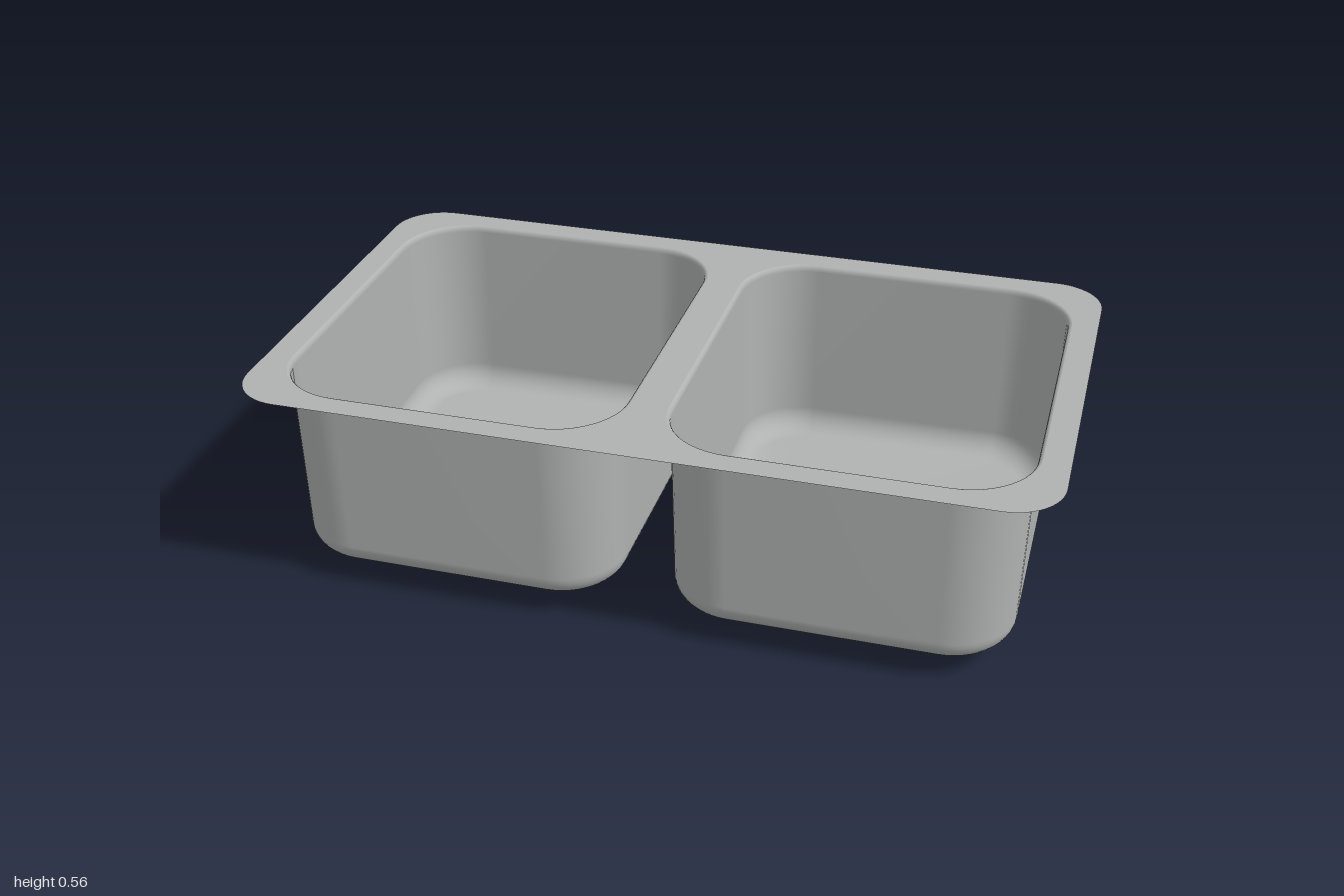
import * as THREE from 'three';

const steel = new THREE.MeshStandardMaterial({ color: 0xb0b2b2, side: THREE.DoubleSide });
steel.name = 'brushed steel';
const dark = new THREE.MeshStandardMaterial({ color: 0x22292a, side: THREE.DoubleSide });
dark.name = 'dark opening';

const TOP = 0.56, BOWL_X = 0.49, DRAIN_X = 0.36, DRAIN_R = 0.097;
const HALF_X = 0.443, HALF_Z = 0.523, CORNER = 0.185, ARC = 12;

// Outline of a rounded rectangle; with hx = hz = r it becomes a circle
function outline(cx, hx, hz, r) {
  const pts = [];
  for (let k = 0; k < 4; k++) {
    const sx = k === 0 || k === 3 ? 1 : -1, sz = k < 2 ? 1 : -1;
    for (let i = 0; i <= ARC; i++) {
      const a = (k + i / ARC) * Math.PI / 2;
      pts.push(new THREE.Vector2(cx + sx * (hx - r) + r * Math.cos(a), sz * (hz - r) + r * Math.sin(a)));
    }
  }
  return pts;
}

// Skin joining rings of equal point count, each { pts, y }
function loft(rings) {
  const pos = [], idx = [], n = rings[0].pts.length;
  for (const { pts, y } of rings) for (const p of pts) pos.push(p.x, y, p.y);
  for (let j = 0; j < rings.length - 1; j++) {
    for (let i = 0; i < n; i++) {
      const a = j * n + i, b = j * n + (i + 1) % n;
      idx.push(a, b, a + n, b, b + n, a + n);
    }
  }
  const g = new THREE.BufferGeometry();
  g.setAttribute('position', new THREE.Float32BufferAttribute(pos, 3));
  g.setIndex(idx);
  g.computeVertexNormals();
  return g;
}

function add(parent, name, geometry, material) {
  const m = new THREE.Mesh(geometry, material);
  m.name = name;
  parent.add(m);
  return m;
}

// Lip, drafted walls, rounded floor edge, sloping floor and drain throat
function bowlGeometry(side) {
  const cx = side * BOWL_X, dx = side * DRAIN_X, rings = [];
  const inset = (d, y) => rings.push({ pts: outline(cx, HALF_X - d, HALF_Z - d, CORNER - d), y });
  const round = (r, y) => rings.push({ pts: outline(dx, r, r, r), y });
  for (let i = 0; i <= 4; i++) {
    const a = i / 4 * Math.PI / 2;
    inset(0.01 * Math.sin(a), TOP - 0.016 * (1 - Math.cos(a)));
  }
  for (let i = 0; i <= 8; i++) {
    const a = i / 8 * Math.PI / 2;
    inset(0.018 + 0.063 * (1 - Math.cos(a)), 0.118 - 0.063 * Math.sin(a));
  }
  round(0.14, 0.041);
  round(0.125, 0.039);
  round(0.111, 0.034);
  round(0.101, 0.026);
  round(DRAIN_R, 0.016);
  round(DRAIN_R, 0);
  return loft(rings);
}

// Perforated plate with three rings of holes
function strainerGeometry() {
  const plate = new THREE.Shape().absarc(0, 0, DRAIN_R, 0, Math.PI * 2);
  for (const [radius, count] of [[0.04, 10], [0.06, 16], [0.079, 22]]) {
    for (let i = 0; i < count; i++) {
      const a = i / count * Math.PI * 2;
      plate.holes.push(new THREE.Path().absarc(radius * Math.cos(a), radius * Math.sin(a), 0.0065, 0, Math.PI * 2, true));
    }
  }
  return new THREE.ShapeGeometry(plate, 16).rotateX(-Math.PI / 2);
}

export function createModel() {
  const sink = new THREE.Group();
  sink.name = 'doubleSink';

  // Flat flange with two bowl openings
  const flange = new THREE.Shape(outline(0, 1, 0.587, 0.13));
  for (const side of [-1, 1]) {
    flange.holes.push(new THREE.Path(outline(side * BOWL_X, HALF_X, HALF_Z, CORNER).reverse()));
  }
  add(sink, 'flange', new THREE.ShapeGeometry(flange).rotateX(-Math.PI / 2), steel).position.y = TOP;

  for (const side of [-1, 1]) {
    const name = side > 0 ? 'left' : 'right';
    add(sink, name + 'Bowl', bowlGeometry(side), steel);

    // Drain fittings
    const drain = new THREE.Group();
    drain.name = name + 'Drain';
    drain.position.x = side * DRAIN_X;
    add(drain, 'strainer', strainerGeometry(), steel).position.y = 0.012;
    add(drain, 'strainerKnob', new THREE.TorusGeometry(0.017, 0.002, 6, 24).rotateX(Math.PI / 2), steel).position.y = 0.013;
    add(drain, 'drainOpening', new THREE.CircleGeometry(DRAIN_R, 48).rotateX(-Math.PI / 2), dark).position.y = 0.001;
    sink.add(drain);
  }

  // Overflow holes high on the inner wall of the right bowl
  const overflow = new THREE.Group();
  overflow.name = 'overflowHoles';
  for (const z of [-0.06, -0.03, 0.03, 0.06]) {
    for (const y of [0.485, 0.505]) {
      add(overflow, 'overflowHole', new THREE.CircleGeometry(0.007, 12).rotateY(-Math.PI / 2), dark)
        .position.set(-0.0605, y, z);
    }
  }
  sink.add(overflow);
  return sink;
}
